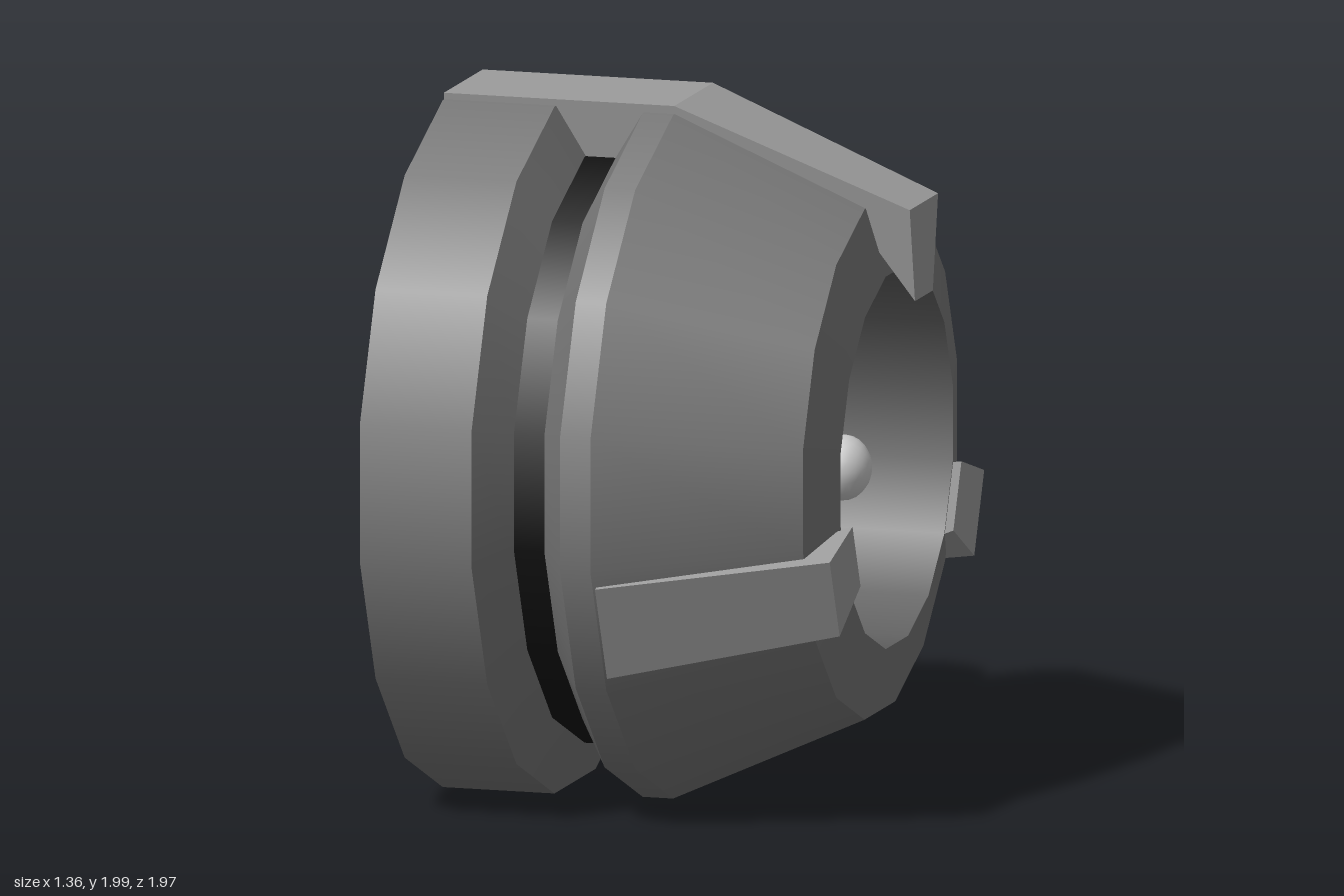
import * as THREE from 'three';

const SIDES = 16;
const material = (color) => new THREE.MeshStandardMaterial({ color, side: THREE.DoubleSide });

// Open band around the x axis, from (x0, r0) to (x1, r1), faces centred on y and z
function band(name, [x0, r0], [x1, r1], mat) {
  const geo = new THREE.CylinderGeometry(r1, r0, x1 - x0, SIDES, 1, true, Math.PI / SIDES);
  geo.rotateZ(-Math.PI / 2).translate((x0 + x1) / 2, 0, 0);
  const mesh = new THREE.Mesh(geo, mat);
  mesh.name = name;
  return mesh;
}

// Bar cut from an (x, radius) profile, its half width growing with the radius
function clip(name, profile, halfWidth, mat) {
  const shape = new THREE.Shape(profile.map(([x, r]) => new THREE.Vector2(x, r)));
  const geo = new THREE.ExtrudeGeometry(shape, { depth: 2, bevelEnabled: false });
  geo.translate(0, 0, -1);
  const p = geo.attributes.position;
  for (let i = 0; i < p.count; i++) p.setZ(i, p.getZ(i) * halfWidth(p.getY(i)));
  geo.computeVertexNormals();
  const mesh = new THREE.Mesh(geo, mat);
  mesh.name = name;
  return mesh;
}

export function createModel() {
  const model = new THREE.Group();
  model.name = 'plug';
  const body = new THREE.Group();
  body.name = 'body';
  body.position.y = 0.995;
  model.add(body);

  const shellMat = material(0x777777);
  const grooveMat = material(0x111111);
  const socketMat = material(0x606060);
  const clipMat = material(0x9c9c9c);
  const pinMat = material(0xcccccc);

  // Outer shell, open at the back
  const shell = [
    ['rearRim', -0.68, 1.005], ['grooveRearBevel', -0.35, 1.005], ['groove', -0.27, 0.857],
    ['grooveFrontBevel', -0.18, 0.857], ['frontRim', -0.09, 1.0], ['taper', 0.0, 1.0],
    ['faceRing', 0.55, 0.747], ['end', 0.6, 0.545],
  ];
  for (let i = 0; i < shell.length - 1; i++) {
    const [name, x0, r0] = shell[i];
    const [, x1, r1] = shell[i + 1];
    body.add(band(name, [x0, r0], [x1, r1], name === 'groove' ? grooveMat : shellMat));
  }

  // Recessed socket
  body.add(band('socketWall', [-0.1, 0.545], [0.6, 0.545], socketMat));
  const floorGeo = new THREE.CircleGeometry(0.545, SIDES, Math.PI / SIDES);
  floorGeo.rotateY(Math.PI / 2).translate(-0.1, 0, 0);
  const floor = new THREE.Mesh(floorGeo, socketMat);
  floor.name = 'socketFloor';
  body.add(floor);

  // Round-tipped pins, hollow at the back
  const pinProfile = [new THREE.Vector2(0.095, -0.17)];
  for (let i = 0; i <= 6; i++) {
    const a = (i / 6) * Math.PI / 2;
    pinProfile.push(new THREE.Vector2(0.095 * Math.cos(a), 0.35 + 0.085 * Math.sin(a)));
  }
  const pinGeo = new THREE.LatheGeometry(pinProfile, 16).rotateZ(-Math.PI / 2);
  for (const [y, z] of [[0.145, 0], [-0.097, 0.283], [-0.097, -0.283]]) {
    const pin = new THREE.Mesh(pinGeo, pinMat);
    pin.name = 'pin';
    pin.position.set(0, y, z);
    body.add(pin);
  }

  // Long top clip bridging the groove
  body.add(clip('topClip', [
    [-0.68, 1.005], [0, 1.005], [0.68, 0.735], [0.68, 0.465], [0.55, 0.65],
    [0, 0.8], [-0.35, 0.83], [-0.35, 0.97], [-0.68, 0.97],
  ], (r) => 0.085 + (r - 0.465) * 0.185, clipMat));

  // Short lower clips, mirrored front and back
  for (const s of [1, -1]) {
    const side = clip('sideClip', [
      [0.01, 0.99], [0.63, 0.745], [0.63, 0.52], [0.55, 0.6], [0.01, 0.72],
    ], (r) => 0.1 + (r - 0.52) * 0.106, clipMat);
    side.rotation.x = s * THREE.MathUtils.degToRad(112.5);
    body.add(side);
  }
  return model;
}
